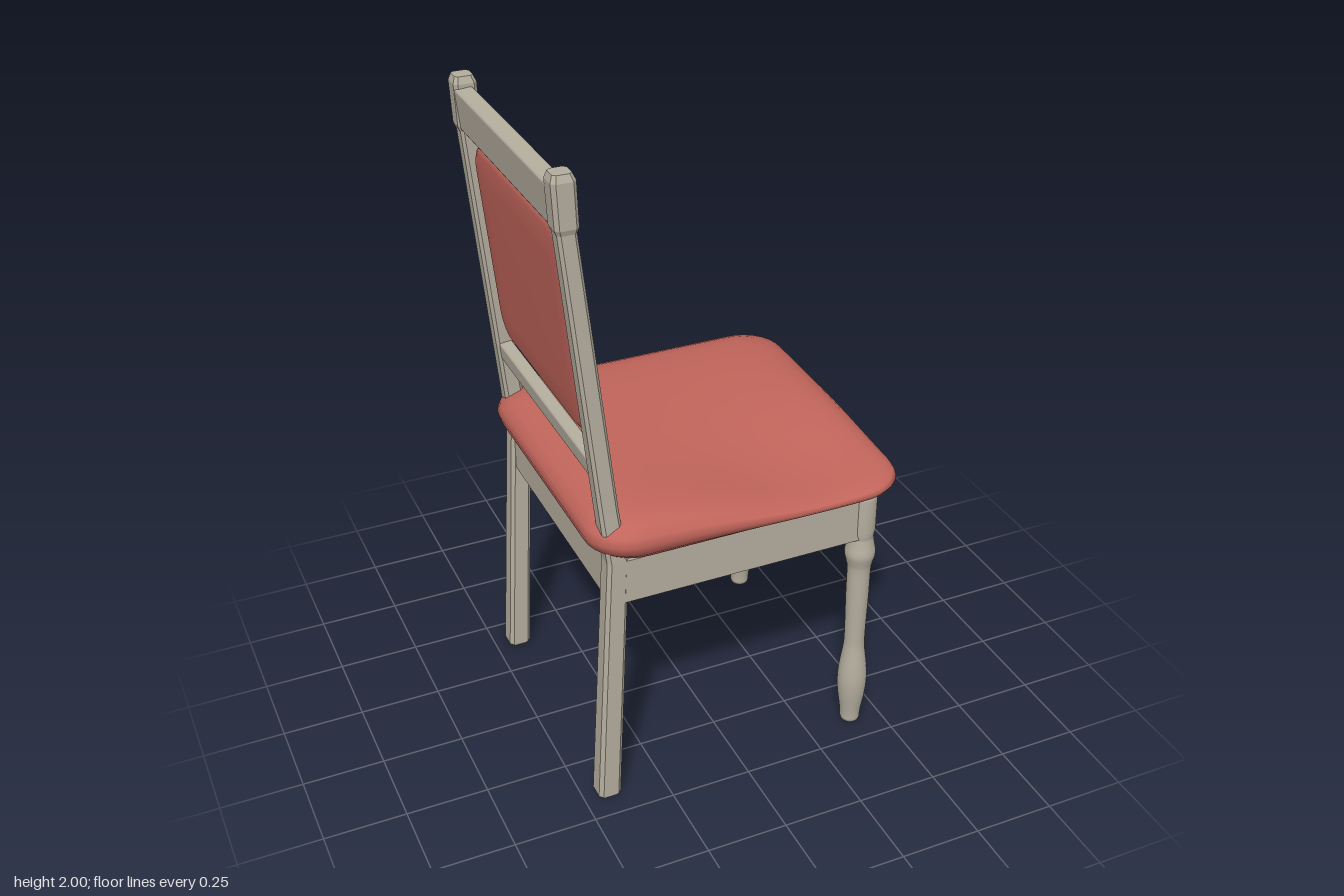
import * as THREE from 'three';
import { RoundedBoxGeometry } from 'three/addons/geometries/RoundedBoxGeometry.js';

const LEAN = 0.102; // backward slope of the chair back

// Skin a stack of equal-length rings of Vector3 (bottom to top), closed at both ends.
function loft(rings, flat) {
  const n = rings[0].length, pos = [], idx = [];
  const put = (v) => pos.push(v.x, v.y, v.z);
  rings.forEach((r) => r.forEach(put));
  for (let j = 0; j < rings.length - 1; j++) {
    for (let i = 0; i < n; i++) {
      const a = j * n + i, b = j * n + (i + 1) % n;
      idx.push(a, a + n, b, b, a + n, b + n);
    }
  }
  [0, rings.length - 1].forEach((j) => {
    const mid = new THREE.Vector3();
    rings[j].forEach((v) => mid.addScaledVector(v, 1 / n));
    const c = pos.length / 3;
    put(mid);
    for (let i = 0; i < n; i++) {
      const a = j * n + i, b = j * n + (i + 1) % n;
      if (j) idx.push(c, b, a); else idx.push(c, a, b);
    }
  });
  let g = new THREE.BufferGeometry();
  g.setAttribute('position', new THREE.Float32BufferAttribute(pos, 3));
  g.setIndex(idx);
  if (flat) g = g.toNonIndexed();
  g.computeVertexNormals();
  return g;
}

// Evenly spaced outline of a rounded rectangle with half sizes a, b.
function roundedOutline(a, b, r, count) {
  const s = new THREE.Shape();
  s.absarc(a - r, b - r, r, 0, Math.PI / 2);
  s.absarc(-a + r, b - r, r, Math.PI / 2, Math.PI);
  s.absarc(-a + r, -b + r, r, Math.PI, Math.PI * 1.5);
  s.absarc(a - r, -b + r, r, Math.PI * 1.5, Math.PI * 2);
  s.closePath();
  return s.getSpacedPoints(count).slice(0, count);
}

// Cushion: an outline shrunk by each profile entry [inset, height].
function cushion(a, b, r, profile, count, deform) {
  const outline = roundedOutline(a, b, r, count);
  return loft(profile.map(([inset, y]) => outline.map((p) => {
    const v = new THREE.Vector3(p.x * (1 - inset / a), y, p.y * (1 - inset / b));
    if (deform) deform(v);
    return v;
  })));
}

// Square bar with chamfered corners; sections are [x, y, z, half width].
function chamferedBar(sections) {
  return loft(sections.map(([x, y, z, h]) => {
    const k = h * 0.68;
    return [[h, -k], [h, k], [k, h], [-k, h], [-h, k], [-h, -k], [-k, -h], [k, -h]]
      .map(([dx, dz]) => new THREE.Vector3(x + dx, y, z + dz));
  }), true);
}

export function createModel() {
  const wood = new THREE.MeshStandardMaterial({ color: 0xb5ae9f });
  wood.name = 'greyWood';
  const fabric = new THREE.MeshStandardMaterial({ color: 0xc1655b });
  fabric.name = 'redFabric';

  const model = new THREE.Group();
  model.name = 'chair';
  const add = (name, geo, mat, x = 0, y = 0, z = 0) => {
    const m = new THREE.Mesh(geo, mat);
    m.name = name;
    m.position.set(x, y, z);
    model.add(m);
    return m;
  };

  // Seat cushion, pressed down near its front left corner
  const seatProfile = [[0.3, 0.842], [0.07, 0.842], [0.035, 0.852], [0.01, 0.878], [0, 0.91],
    [0.008, 0.935], [0.03, 0.96], [0.065, 0.977], [0.11, 0.985],
    [0.16, 0.987], [0.21, 0.988], [0.26, 0.988], [0.31, 0.988], [0.36, 0.988], [0.41, 0.988], [0.45, 0.988]];
  const press = (v) => {
    const wx = v.x + 0.033;
    const dip = 0.082 * Math.exp(-((wx - 0.27) ** 2) / 0.125 - ((v.z - 0.42) ** 2) / 0.106);
    v.y -= dip * Math.max(0, (v.y - 0.86) / 0.128);
  };
  add('seatCushion', cushion(0.488, 0.478, 0.13, seatProfile, 112, press), fabric, 0.033);

  // Back cushion, leaning with the posts
  const padProfile = [[0.1, -0.012], [0.02, -0.01], [0.005, 0], [0, 0.018], [0.005, 0.032],
    [0.02, 0.046], [0.05, 0.056], [0.1, 0.062], [0.18, 0.066], [0.27, 0.068]];
  const pad = add('backCushion', cushion(0.314, 0.345, 0.07, padProfile, 80), fabric, -0.452, 1.51, 0);
  pad.rotation.z = -Math.PI / 2 + Math.atan(LEAN);

  // Buttons on the back cushion
  [[-0.384, 1.59, 0.17], [-0.384, 1.59, -0.17], [-0.365, 1.4, 0]].forEach(([x, y, z]) => {
    add('button', new THREE.SphereGeometry(0.018, 16, 12), wood, x, y, z).scale.x = 0.6;
  });

  // Turned front leg profile [radius, height]
  const legProfile = new THREE.SplineCurve([[0.031, 0.01], [0.033, 0.04], [0.043, 0.11], [0.046, 0.16],
    [0.043, 0.21], [0.034, 0.28], [0.032, 0.33], [0.035, 0.48], [0.036, 0.58], [0.041, 0.61], [0.047, 0.64],
    [0.041, 0.675], [0.037, 0.7]].map(([r, y]) => new THREE.Vector2(r, y))).getPoints(44);
  const ends = (pts) => pts.map(([r, y]) => new THREE.Vector2(r, y));
  const legPoints = [...ends([[0, 0], [0.029, 0]]), ...legProfile,
    ...ends([[0.042, 0.725], [0.042, 0.838], [0.038, 0.845], [0, 0.845]])];

  for (const s of [1, -1]) {
    const side = s > 0 ? 'left' : 'right';
    add(side + 'FrontLeg', new THREE.LatheGeometry(legPoints, 24), wood, 0.405, 0, s * 0.4);

    // Back post: lower leg, bend behind the seat, leaning upper part
    add(side + 'BackPost', chamferedBar([
      [-0.424, 0, s * 0.4, 0.029], [-0.4235, 0.01, s * 0.4, 0.035], [-0.379, 0.84, s * 0.397, 0.032],
      [-0.388, 0.9, s * 0.396, 0.031], [-0.4, 1, s * 0.394, 0.029], [-0.488, 1.86, s * 0.38, 0.027],
    ]), wood);
    // Slightly wider post cap
    add(side + 'PostCap', chamferedBar([
      [-0.486, 1.84, s * 0.381, 0.028], [-0.487, 1.855, s * 0.381, 0.033],
      [-0.492, 1.98, s * 0.38, 0.034], [-0.493, 2, s * 0.38, 0.026],
    ]), wood);

    // Side apron under the seat
    add(side + 'Apron', new THREE.BoxGeometry(0.75, 0.14, 0.048), wood, 0.01, 0.772, s * 0.405);
  }

  // Front and back aprons
  add('frontApron', new THREE.BoxGeometry(0.048, 0.14, 0.76), wood, 0.41, 0.772, 0);
  add('backApron', new THREE.BoxGeometry(0.044, 0.14, 0.76), wood, -0.383, 0.772, 0);

  // Top rail and lower rail of the back
  [['topRail', -0.493, 1.908, 0.052, 0.122], ['lowerRail', -0.413, 1.124, 0.042, 0.058]]
    .forEach(([name, x, y, w, h]) => {
      const rail = add(name, new RoundedBoxGeometry(w, h, 0.74, 1, 0.007), wood, x, y, 0);
      rail.rotation.z = Math.atan(LEAN);
    });

  return model;
}
